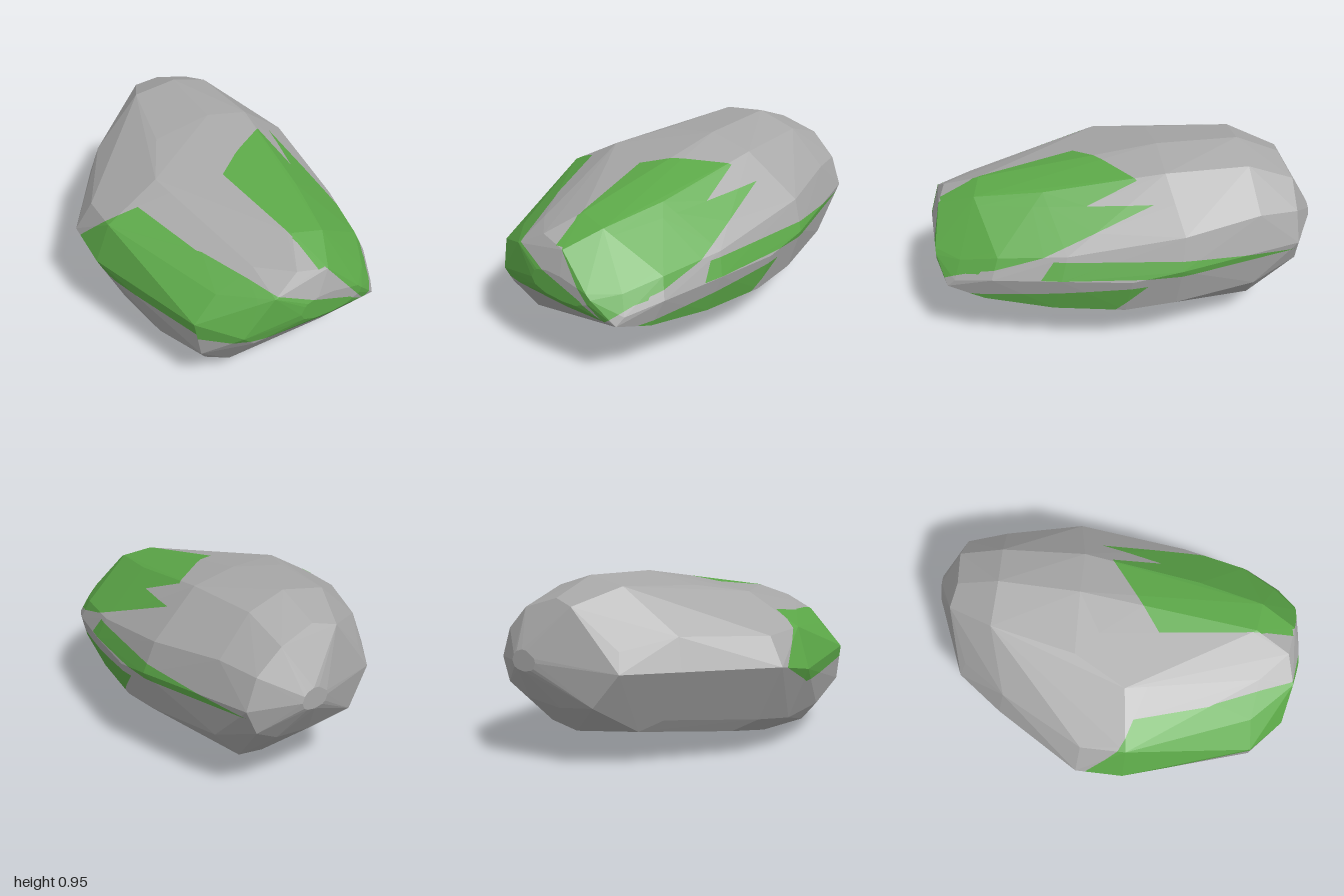
import * as THREE from 'three';
import { ConvexGeometry } from 'three/addons/geometries/ConvexGeometry.js';

// Cross-sections from back to front: widest points, crown, keel
// and how full the upper left shoulder is
const rings = [
  { z: -1, xMin: .22, xMax: .38, yMid: .55, crown: [.31, .61], keel: [.3, .5], shoulder: 2 },
  { z: -.86, xMin: -.2, xMax: .6, yMid: .52, crown: [.2, .86], keel: [.2, .3], shoulder: 1.7 },
  { z: -.63, xMin: -.4, xMax: .64, yMid: .52, crown: [.18, .955], keel: [.3, .11], shoulder: 2 },
  { z: -.2, xMin: -.71, xMax: .72, yMid: .51, crown: [.14, .945], keel: [.1, .05], shoulder: 1.65 },
  { z: .05, xMin: -.72, xMax: .69, yMid: .46, crown: [.1, .89], keel: [0, .01], shoulder: 2.3 },
  { z: .4, xMin: -.62, xMax: .62, yMid: .47, crown: [.1, .83], keel: [-.3, 0], shoulder: 1.8 },
  { z: .74, xMin: -.55, xMax: .52, yMid: .46, crown: [.02, .785], keel: [-.34, .12], shoulder: 1.3 },
  { z: .92, xMin: -.38, xMax: .42, yMid: .42, crown: [-.08, .71], keel: [.1, .32], shoulder: 1.4 },
  { z: 1, xMin: -.1, xMax: .28, yMid: .5, crown: [0, .57], keel: [.1, .43], shoulder: 2 },
];

// Moss outlines, drawn along an axis onto the faces turned that way
const frontMoss = [
  [[-.73, .46], [-.6, .76], [-.27, .66], [-.38, .38], [-.57, .36]],
  [[-.27, .66], [.21, .47], [.33, .38], [-.38, .385]],
  [[.02, .83], [.37, .82], [.48, .5], [.33, .38], [0, .78]],
  [[-.36, .11], [.55, .33], [.07, .01], [-.34, 0]],
];
const rightMoss = [
  [[.95, .72], [-.1, .78], [.5, .57], [.92, .45]],
  [[.5, .47], [.43, .56], [-.2, .56], [-.85, .48]],
  [[.92, .34], [-.03, .42], [.38, 0], [.73, .12]],
];
const leftMoss = [[[-.15, .5], [.1, .75], [.95, .62], [.9, .4], [.1, .38]]];
const topMoss = [[[.37, -.04], [.47, .8], [.4, .92], [.03, .95], [-.04, .22]]];
const underMoss = [[[.34, -.46], [-.19, -.49], [-.3, -.2], [0, .1]]];
const patches = [
  { u: 'x', v: 'y', axis: 'z', sign: 1, outlines: frontMoss },
  { u: 'z', v: 'y', axis: 'x', sign: 1, outlines: rightMoss },
  { u: 'z', v: 'y', axis: 'x', sign: -1, outlines: leftMoss },
  { u: 'x', v: 'z', axis: 'y', sign: 1, outlines: topMoss },
  { u: 'x', v: 'z', axis: 'y', sign: -1, outlines: underMoss },
];

// Points round one ring: a rounded quarter between each pair of extremes,
// with the points in between nudged so the facets come out uneven
function ringPoints(ring, index) {
  const sides = 12, points = [];
  const end = index === 0 || index === rings.length - 1;
  for (let i = 0; i < sides; i++) {
    const free = i % 3 !== 0;
    const nudge = free ? Math.sin(index * 12.9 + i * 78.2) : 0;
    const angle = ((i + nudge * .3) / sides) * Math.PI * 2;
    const c = Math.cos(angle), s = Math.sin(angle);
    const [xc, yEnd] = s > 0 ? ring.crown : ring.keel;
    const power = s > 0 ? (c > 0 ? 1.8 : ring.shoulder) : 2.25;
    points.push(new THREE.Vector3(
      xc + ((c > 0 ? ring.xMax : ring.xMin) - xc) * Math.abs(c) ** (2 / power),
      ring.yMid + (yEnd - ring.yMid) * Math.abs(s) ** (2 / power),
      ring.z + (end ? 0 : nudge * .04),
    ));
  }
  return points;
}

// Splits a flat polygon in two by a signed distance function
function split(poly, dist) {
  const inside = [], outside = [];
  poly.forEach((a, i) => {
    const b = poly[(i + 1) % poly.length];
    const da = dist(a), db = dist(b);
    if (da >= 0) inside.push(a);
    if (da <= 0) outside.push(a);
    if (da * db < 0) {
      const p = a.clone().lerp(b, da / (da - db));
      inside.push(p);
      outside.push(p);
    }
  });
  return [inside, outside];
}

// Cuts a polygon by a convex outline into one inner piece and the outer rest
function cut(poly, outline, { u, v }) {
  const turn = THREE.ShapeUtils.isClockWise(outline.map((p) => new THREE.Vector2(...p))) ? -1 : 1;
  const rest = [];
  let inner = poly;
  outline.forEach((p, i) => {
    if (inner.length < 3) return;
    const q = outline[(i + 1) % outline.length];
    const [inside, outside] = split(inner, (c) => turn
      * ((q[0] - p[0]) * (c[v] - p[1]) - (q[1] - p[1]) * (c[u] - p[0])));
    if (outside.length > 2) rest.push(outside);
    inner = inside;
  });
  return { inner, rest };
}

function facetMesh(name, polys, color) {
  const corners = [];
  for (const poly of polys) {
    for (let i = 1; i < poly.length - 1; i++) corners.push(poly[0], poly[i], poly[i + 1]);
  }
  const geometry = new THREE.BufferGeometry().setFromPoints(corners);
  geometry.computeVertexNormals();
  const mesh = new THREE.Mesh(geometry, new THREE.MeshStandardMaterial({ color, flatShading: true }));
  mesh.name = name;
  return mesh;
}

export function createModel() {
  const hull = new ConvexGeometry(rings.flatMap(ringPoints)).getAttribute('position');
  const stone = [], moss = [];

  // Sort every facet into bare stone and moss
  for (let i = 0; i < hull.count; i += 3) {
    const facet = [0, 1, 2].map((k) => new THREE.Vector3().fromBufferAttribute(hull, i + k));
    const normal = new THREE.Triangle(...facet).getNormal(new THREE.Vector3());
    let bare = [facet];
    for (const patch of patches) {
      if (normal[patch.axis] * patch.sign < .25) continue;
      for (const outline of patch.outlines) {
        bare = bare.flatMap((poly) => {
          const { inner, rest } = cut(poly, outline, patch);
          if (inner.length < 3) return [poly];
          moss.push(inner);
          return rest;
        });
      }
    }
    stone.push(...bare);
  }

  const group = new THREE.Group();
  group.name = 'mossyBoulder';
  group.add(facetMesh('stone', stone, 0xa8a8a8), facetMesh('moss', moss, 0x5ca848));
  return group;
}
